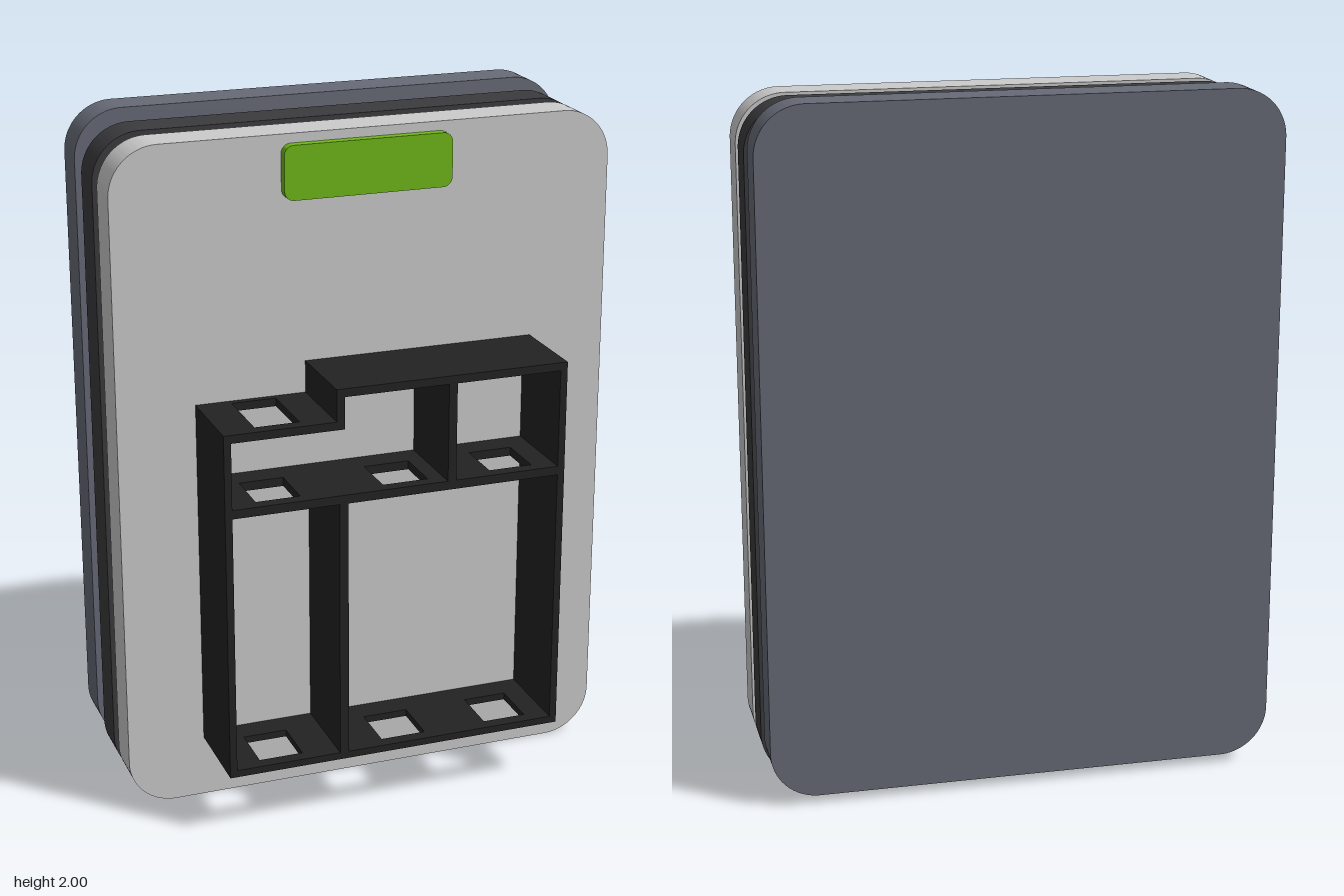
import * as THREE from 'three';
import { toCreasedNormals } from 'three/addons/utils/BufferGeometryUtils.js';

const mat = (color) => new THREE.MeshStandardMaterial({ color });

function add(parent, name, geometry, material) {
  const mesh = new THREE.Mesh(geometry, material);
  mesh.name = name;
  parent.add(mesh);
  return mesh;
}

function rectangle(Type, x0, y0, x1, y1) {
  const r = new Type();
  r.moveTo(x0, y0).lineTo(x1, y0).lineTo(x1, y1).lineTo(x0, y1).closePath();
  return r;
}

// Upright slab with rounded corners in the xy plane
function slab(x0, x1, y0, y1, z0, z1, r) {
  const s = new THREE.Shape();
  s.moveTo(x0 + r, y0);
  s.absarc(x1 - r, y0 + r, r, -Math.PI / 2, 0);
  s.absarc(x1 - r, y1 - r, r, 0, Math.PI / 2);
  s.absarc(x0 + r, y1 - r, r, Math.PI / 2, Math.PI);
  s.absarc(x0 + r, y0 + r, r, Math.PI, Math.PI * 1.5);
  const g = new THREE.ExtrudeGeometry(s, { depth: z1 - z0, bevelEnabled: false, curveSegments: 16 });
  g.translate(0, 0, z0);
  return toCreasedNormals(g, 0.6);
}

// Depth of the divided frame
const FRAME_BACK = 0.113, FRAME_FRONT = 0.378;

// Horizontal board with rectangular cut-outs [x0, x1, z0, z1]
function board(x0, x1, y0, y1, cutouts = []) {
  const s = rectangle(THREE.Shape, x0, -FRAME_FRONT, x1, -FRAME_BACK);
  for (const [a, b, c, d] of cutouts) s.holes.push(rectangle(THREE.Path, a, -d, b, -c));
  const g = new THREE.ExtrudeGeometry(s, { depth: y1 - y0, bevelEnabled: false });
  return g.rotateX(-Math.PI / 2).translate(0, y0, 0);
}

// Vertical wall running the full depth of the frame
function wall(x0, x1, y0, y1) {
  const g = new THREE.BoxGeometry(x1 - x0, y1 - y0, FRAME_FRONT - FRAME_BACK);
  return g.translate((x0 + x1) / 2, (y0 + y1) / 2, (FRAME_FRONT + FRAME_BACK) / 2);
}

export function createModel() {
  const model = new THREE.Group();
  model.name = 'layeredPanelAssembly';

  // Three separated layers
  const W = 0.738, R = 0.14;
  add(model, 'frontPanel', slab(-W, W, 0, 1.977, -0.008, 0.112, R), mat(0xcccccc));
  add(model, 'middlePanel', slab(-W, W, 0, 1.977, -0.182, -0.062, R), mat(0x3b3b3e));
  add(model, 'backPanel', slab(-W, W, 0.025, 2, -0.378, -0.258, R), mat(0x676b77));

  // Raised label plate near the top
  add(model, 'greenPlate', slab(-0.25, 0.245, 1.795, 1.95, 0.11, 0.141, 0.028), mat(0x70b818));

  // Divided frame on the front panel
  const frame = new THREE.Group();
  frame.name = 'dividedFrame';
  model.add(frame);
  const dark = mat(0x222222);

  // Horizontal boards
  const slots = [[-0.41, -0.28, 0.19, 0.34], [-0.035, 0.1, 0.19, 0.34], [0.29, 0.42, 0.19, 0.34]];
  add(frame, 'bottomBoard', board(-0.51, 0.507, 0.186, 0.207, slots), dark);
  add(frame, 'middleShelf', board(-0.489, 0.486, 0.982, 1.008, slots), dark);
  add(frame, 'lowTop', board(-0.51, -0.185, 1.203, 1.227, [[-0.41, -0.28, 0.133, 0.34]]), dark);
  add(frame, 'highTop', board(-0.185, 0.507, 1.297, 1.321), dark);

  // Vertical walls
  add(frame, 'rightWall', wall(-0.51, -0.489, 0.207, 1.203), dark);
  add(frame, 'leftWall', wall(0.486, 0.507, 0.207, 1.297), dark);
  add(frame, 'stepWall', wall(-0.185, -0.161, 1.203, 1.297), dark);
  add(frame, 'lowerDivider', wall(-0.177, -0.151, 0.207, 0.982), dark);
  add(frame, 'upperDivider', wall(0.147, 0.172, 1.008, 1.297), dark);

  return model;
}
